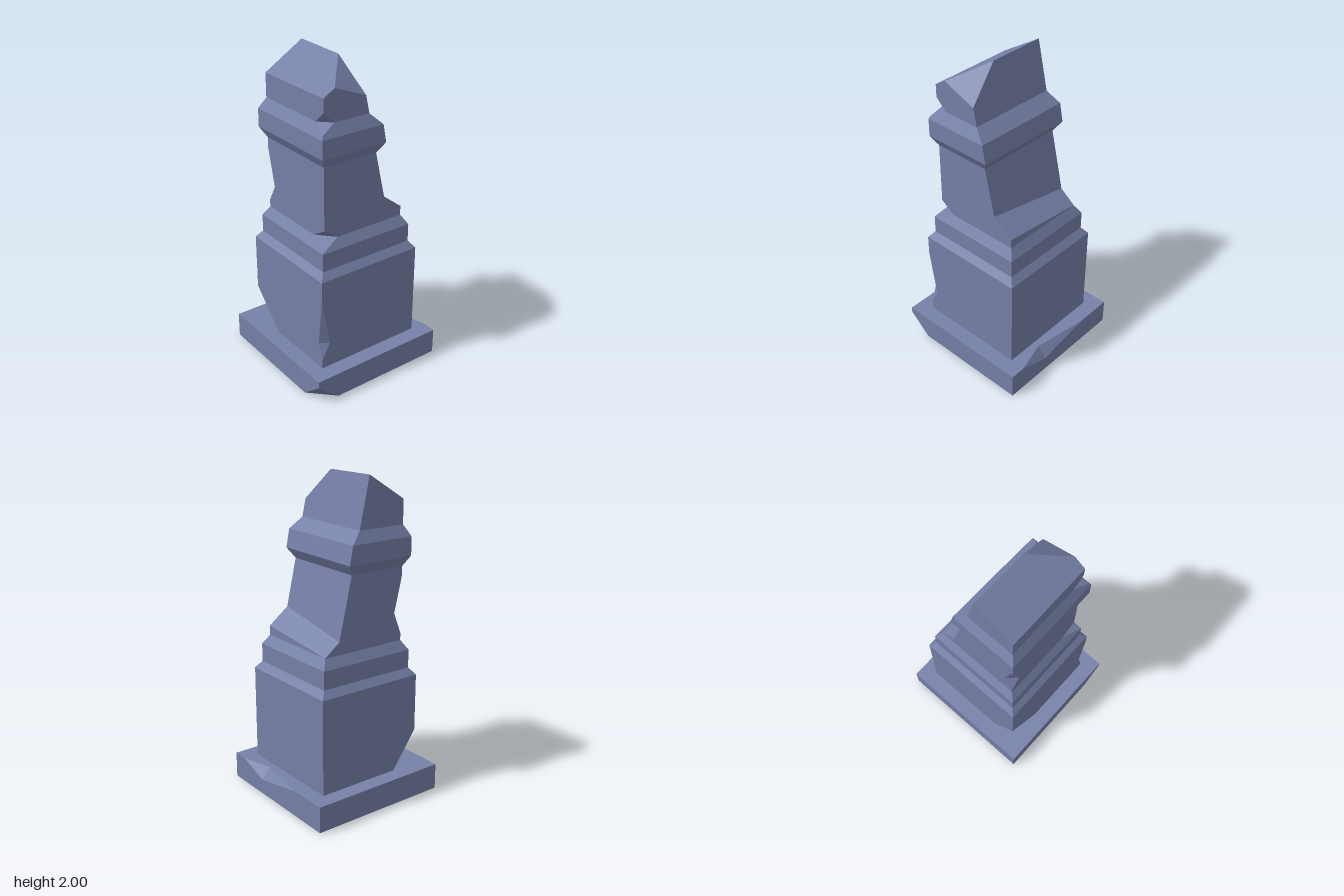
import * as THREE from 'three';

const V = (p) => new THREE.Vector3(...p);
const material = new THREE.MeshStandardMaterial({ color: 0x7680a8, flatShading: true });

// Plane through three points, facing away from the point `inside`
function planeThrough(points, inside) {
  const plane = new THREE.Plane().setFromCoplanarPoints(...points.map(V));
  return plane.distanceToPoint(V(inside)) > 0 ? plane.negate() : plane;
}

// Point shared by three planes
function meet(a, b, c) {
  const bc = b.normal.clone().cross(c.normal);
  const det = a.normal.dot(bc);
  if (Math.abs(det) < 1e-5) return null;
  return bc.multiplyScalar(-a.constant)
    .addScaledVector(c.normal.clone().cross(a.normal), -b.constant)
    .addScaledVector(a.normal.clone().cross(b.normal), -c.constant)
    .divideScalar(det);
}

// Flat-faced convex block bounded by planes; hidden planes get no face
function convexBlock(planes, hidden) {
  const positions = [];
  planes.forEach((p, i) => {
    if (hidden.includes(p)) return;
    const corners = [];
    for (let j = 0; j < planes.length; j++) for (let k = j + 1; k < planes.length; k++) {
      if (j === i || k === i) continue;
      const v = meet(p, planes[j], planes[k]);
      if (!v || planes.some((q) => q.distanceToPoint(v) > 1e-5)) continue;
      if (!corners.some((c) => c.distanceTo(v) < 1e-4)) corners.push(v);
    }
    if (corners.length < 3) return;
    // Order the corners counter-clockwise about the outward normal
    const mid = corners.reduce((s, c) => s.add(c), new THREE.Vector3()).divideScalar(corners.length);
    const u = corners[0].clone().sub(mid).normalize();
    const w = p.normal.clone().cross(u);
    const angle = (c) => Math.atan2(c.clone().sub(mid).dot(w), c.clone().sub(mid).dot(u));
    corners.sort((a, b) => angle(a) - angle(b));
    for (let n = 1; n < corners.length - 1; n++) {
      for (const c of [corners[0], corners[n], corners[n + 1]]) positions.push(c.x, c.y, c.z);
    }
  });
  const geometry = new THREE.BufferGeometry();
  geometry.setAttribute('position', new THREE.Float32BufferAttribute(positions, 3));
  geometry.computeVertexNormals();
  return geometry;
}

// Square course from y0 to y1, half widths h0 and h1, trimmed by cuts (three points each)
function course(name, [y0, y1], [h0, h1], cuts = [], { caps = false, inner = [] } = {}) {
  const inside = [0, y0 + 0.005, 0.1];
  const bottom = new THREE.Plane(V([0, -1, 0]), y0);
  const top = new THREE.Plane(V([0, 1, 0]), -y1);
  const sides = [
    [[h0, y0, 0], [h0, y0, 1], [h1, y1, 0]],
    [[-h0, y0, 0], [-h0, y0, 1], [-h1, y1, 0]],
    [[0, y0, h0], [1, y0, h0], [0, y1, h1]],
    [[0, y0, -h0], [1, y0, -h0], [0, y1, -h1]],
  ].concat(cuts).map((points) => planeThrough(points, inside));
  const mesh = new THREE.Mesh(
    convexBlock([bottom, top, ...sides, ...inner], caps ? inner : [bottom, top, ...inner]), material);
  mesh.name = name;
  return mesh;
}

// Broken back surface running between two heights, slightly skewed across the width
const breakCut = (y0, z0, y1, z1) =>
  [[-0.3, y0, z0 - 0.006], [0.3, y0, z0 + 0.006], [0.3, y1, z1 + 0.006]];

export function createModel() {
  const group = new THREE.Group();
  group.name = 'brokenPillar';
  const add = (...args) => group.add(course(...args));

  // Base slab in two halves, so that the pit in its back edge can be hollow
  const B = 0.457;
  const baseCorner = [[0.31, 0, B], [B, 0.125, B], [B, 0, 0.31]];
  for (const [side, endX] of [[1, 0.36], [-1, -0.21]]) {
    const pit = planeThrough([[endX, 0.165, -B], [0.15, 0.165, -0.4], [0.15, 0.095, -B]], [0.15, 0, 0]);
    const split = new THREE.Plane(V([-side, 0, 0]), side * 0.15);
    const slab = course(side > 0 ? 'baseLeft' : 'baseRight', [0, 0.165], [B, B], [baseCorner],
      { caps: true, inner: [split] });
    slab.geometry = convexBlock([
      new THREE.Plane(V([0, -1, 0]), 0), new THREE.Plane(V([0, 1, 0]), -0.165),
      new THREE.Plane(V([1, 0, 0]), -B), new THREE.Plane(V([-1, 0, 0]), -B),
      new THREE.Plane(V([0, 0, 1]), -B), new THREE.Plane(V([0, 0, -1]), -B),
      planeThrough(baseCorner, [0, 0.1, 0]), pit, split], [split]);
    group.add(slab);
  }

  // Plinth, with a chipped foot and a notch in one upright edge
  const P = 0.357;
  const foot = [[-0.12, 0.165, P], [-P, 0.4, P], [-P, 0.165, 0.19]];
  const plinthNotch = (y) => [[0.32, 0.33, P], [P, 0.33, 0.3], [P, y, P]];
  add('plinthLower', [0.165, 0.33], [P, P], [foot, plinthNotch(0.22)]);
  add('plinthUpper', [0.33, 0.765], [P, P], [foot, plinthNotch(0.64)]);

  // Lower moulding
  const M = 0.322, S = 0.285;
  add('lowerMouldingStep', [0.765, 0.81], [P, M]);
  add('lowerMouldingBand', [0.81, 0.925], [M, M]);
  add('lowerMouldingSlope', [0.925, 0.985], [M, S],
    [[[0.18, 0.985, S], [S, 0.985, 0.19], [0.319, 0.93, 0.319]]]);

  // Shaft, split at the notch in its front edge
  const shaftBreak = breakCut(1.14, -0.16, 1.445, -0.09);
  const shaftNotch = (y) => [[-0.225, 1.14, S], [-S, 1.14, 0.225], [-S, y, S]];
  const shaftChip = [[0.18, 0.985, S], [S, 0.985, 0.19], [S, 1.05, S]];
  add('shaftLower', [0.985, 1.14], [S, S], [shaftBreak, shaftNotch(1.03), shaftChip]);
  add('shaftUpper', [1.14, 1.445], [S, S], [shaftBreak, shaftNotch(1.38)]);

  // Ledge left standing behind the broken shaft
  const behind = planeThrough(shaftBreak, [0, 1.2, -1]);
  add('brokenLedge', [0.985, 1.3], [S, S],
    [[[S, 1.045, -S], [S, 1.14, -0.16], [-S, 1.06, -0.188]]], { inner: [behind] });

  // Upper moulding, broken along the back
  add('upperMouldingFlare', [1.445, 1.51], [S, M], [breakCut(1.445, -0.09, 1.51, -0.133)]);
  add('upperMouldingBand', [1.51, 1.625], [M, M], [breakCut(1.51, -0.133, 1.625, -0.11)]);
  add('upperMouldingSlope', [1.625, 1.695], [M, S], [breakCut(1.625, -0.11, 1.695, -0.035),
    [[0.21, 1.695, S], [S, 1.695, 0.215], [0.312, 1.645, 0.312]]]);

  // Broken top: sloping front, sheared corner and chipped foot
  add('brokenTop', [1.695, 2.01], [S, S], [
    breakCut(1.695, -0.035, 2, 0.033),
    [[-S, 1.845, S], [S, 1.845, S], [0, 2, 0.033]],
    [[0.08, 2, 0.035], [S, 1.89, 0.21], [S, 1.805, -0.005]],
    [[0.21, 1.695, S], [S, 1.695, 0.215], [S, 1.765, S]],
  ]);

  return group;
}
